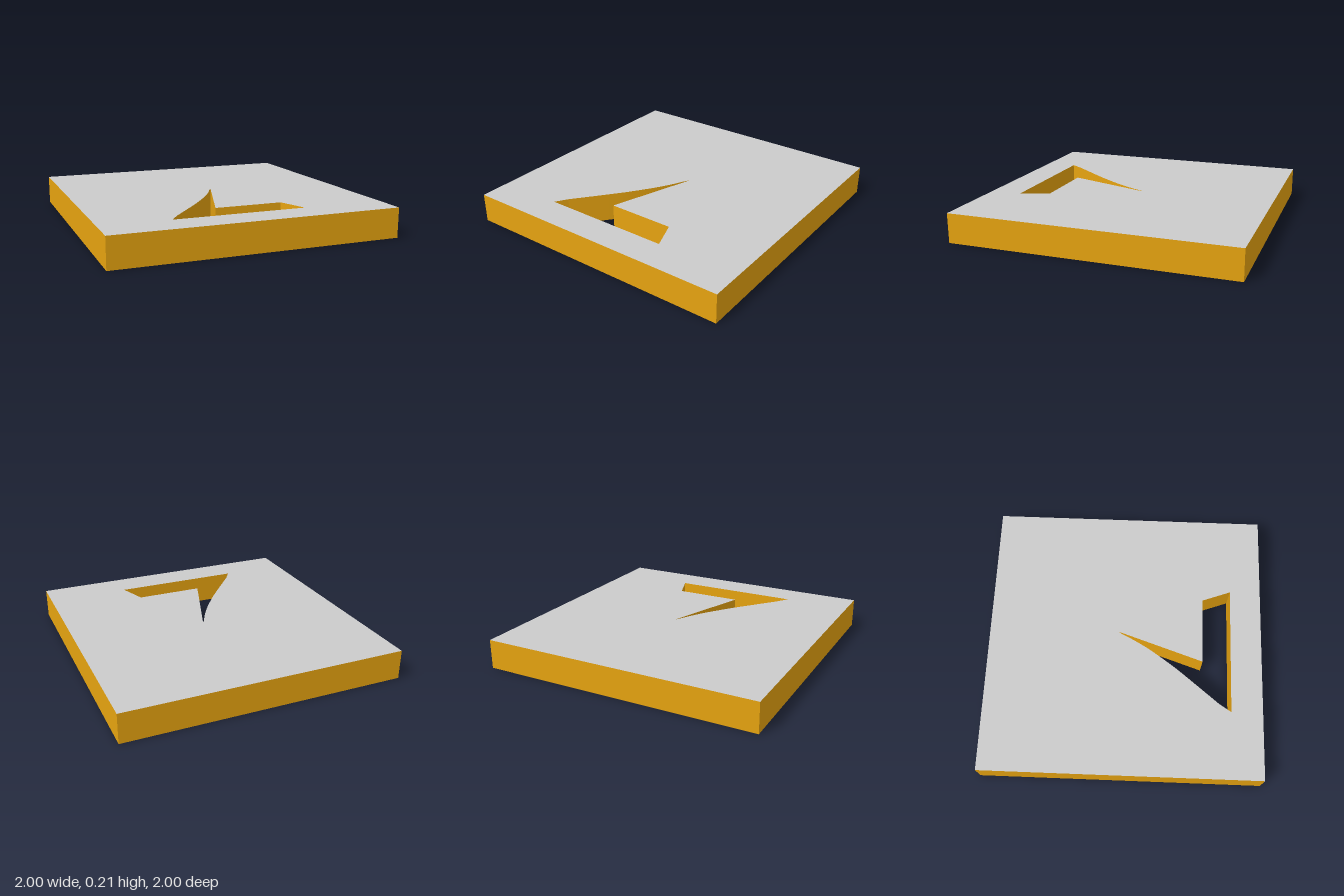
import * as THREE from 'three';

const SIZE = 2;
const THICKNESS = 0.21;

// Cut-out outline drawn in plan; shape y is -z
function cutOut() {
  const hole = new THREE.Path();
  hole.moveTo(0.06, 0.05);
  hole.lineTo(-0.15, -0.57);
  hole.lineTo(0.335, -0.57);
  hole.lineTo(0.41, -0.775);
  hole.lineTo(-0.52, -0.775);
  hole.lineTo(-0.465, -0.69);
  // gently curved long edge running up to the tip
  hole.splineThru([[-0.26, -0.44], [-0.175, -0.33], [-0.07, -0.18], [0, -0.06], [0.04, 0.02], [0.06, 0.05]]
    .map(([x, y]) => new THREE.Vector2(x, y)));
  return hole;
}

export function createModel() {
  const group = new THREE.Group();
  const h = SIZE / 2;

  // Square slab with the cut-out going right through
  const outline = new THREE.Shape();
  outline.moveTo(-h, -h).lineTo(h, -h).lineTo(h, h).lineTo(-h, h).closePath();
  outline.holes.push(cutOut());

  const geometry = new THREE.ExtrudeGeometry(outline, { depth: THICKNESS, bevelEnabled: false, curveSegments: 3 });
  geometry.rotateX(-Math.PI / 2);

  // Grey faces, amber edges
  const faces = new THREE.MeshStandardMaterial({ color: 0xcccccc });
  const edges = new THREE.MeshStandardMaterial({ color: 0xe6a310 });
  const slab = new THREE.Mesh(geometry, [faces, edges]);
  slab.name = 'slabWithCutOut';
  group.add(slab);
  return group;
}
